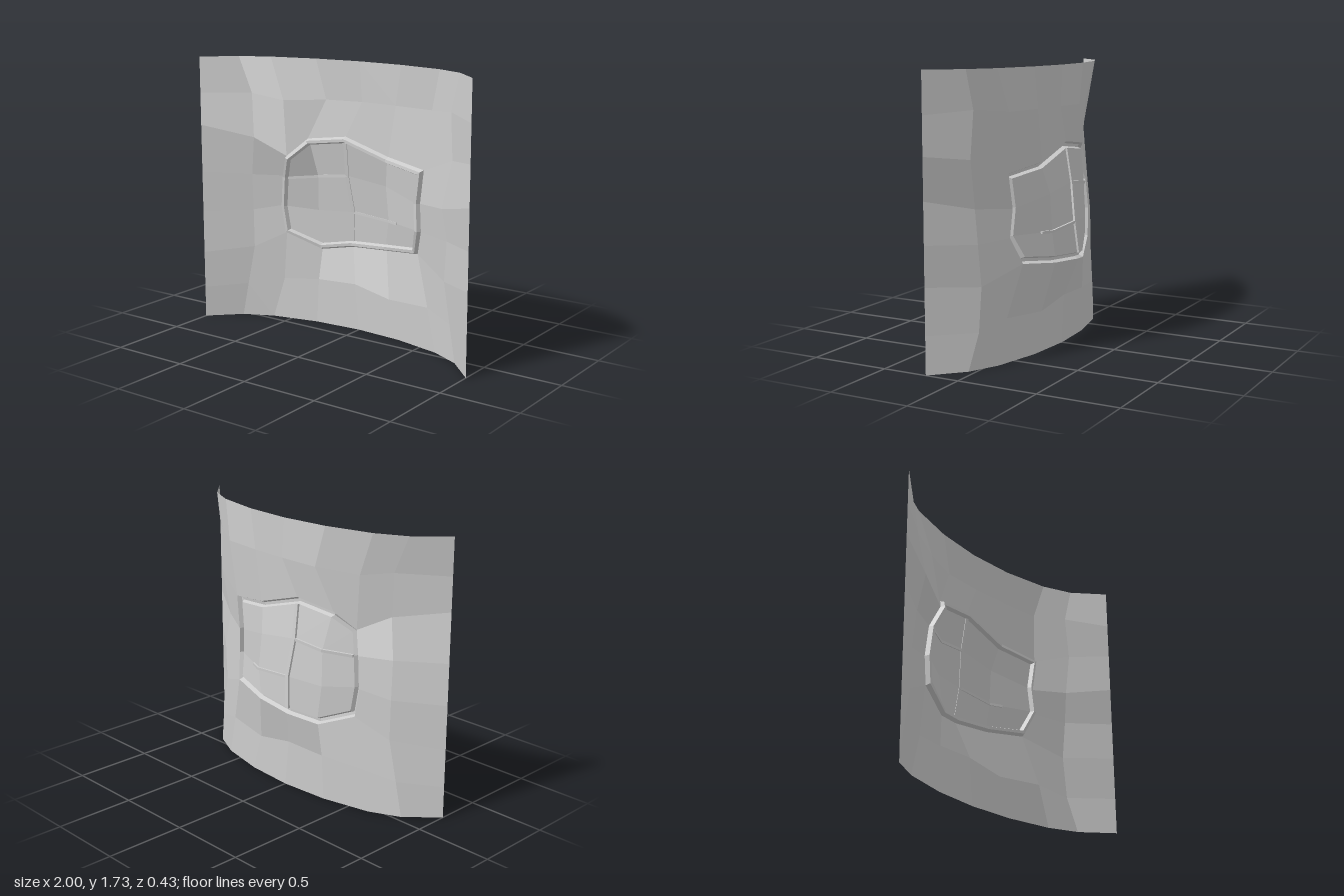
import * as THREE from 'three';

const material = new THREE.MeshStandardMaterial({ color: 0xcccccc, side: THREE.DoubleSide });

// Depth of the bowed wall, by distance from the middle
const bow = [[0, -0.14], [0.32, -0.118], [0.63, -0.05], [0.82, 0.04], [1, 0.215]];
function bowDepth(x) {
  const u = Math.abs(x);
  const i = Math.max(1, bow.findIndex(p => u <= p[0]));
  const [a, b] = [bow[i - 1], bow[i]];
  return a[1] + (b[1] - a[1]) * (u - a[0]) / (b[0] - a[0]);
}

// Wall nodes, [x, y] or [x, y, z]; the depth follows the bow unless given
const edgeRow = y => [-1, -0.82, -0.63, -0.32, 0, 0.32, 0.63, 0.82, 1].map(x => [x, y]);
const lowerRow = [[-1, 0.2], [-0.78, 0.22, 0.03], [-0.55, 0.27], [-0.31, 0.29, -0.125], [-0.03, 0.3], [0.24, 0.25], [0.56, 0.27], [0.76, 0.22, 0.005], [1, 0.23]];
const openingRows = [
  [[-1, 0.44], [-0.73, 0.48, 0.02], [-0.52, 0.59, -0.06], [-0.29, 0.495, -0.14], [-0.09, 0.525, -0.205], [0.18, 0.545, -0.185], [0.455, 0.58, -0.115], [0.72, 0.48, 0.01], [1, 0.51]],
  [[-1, 0.72], [-0.73, 0.73, 0.025], [-0.545, 0.77, -0.05], [-0.32, 0.75, -0.14], [-0.075, 0.76, -0.185], [0.2, 0.74, -0.175], [0.51, 0.74, -0.06], [0.74, 0.73, 0.02], [1, 0.75]],
  [[-1, 0.98], [-0.72, 0.97, 0.045], [-0.525, 0.97, -0.04], [-0.315, 0.975, -0.13], [-0.1, 1, -0.15], [0.19, 0.965, -0.155], [0.495, 0.91, -0.07], [0.72, 0.93, 0.05], [1, 1]],
  [[-1, 1.29], [-0.68, 1.22, 0.07], [-0.47, 1.11, 0], [-0.37, 1.22, -0.095], [-0.09, 1.255, -0.12], [0.23, 1.16, -0.12], [0.525, 1.12, -0.06], [0.78, 1.22, 0.04], [1, 1.25]],
];
const upperRow = [[-1, 1.5], [-0.72, 1.5, 0.035], [-0.52, 1.46, -0.035], [-0.25, 1.475, -0.13], [0.02, 1.48], [0.28, 1.48], [0.56, 1.48, -0.085], [0.76, 1.5, 0.03], [1, 1.48]];
const nodes = [edgeRow(0), lowerRow, ...openingRows, upperRow, edgeRow(1.73)]
  .map(row => row.map(([x, y, z = bowDepth(x)]) => new THREE.Vector3(x, y, z)));

// Faceted mesh from four-cornered faces, one normal per face
function quadMesh(name, quads) {
  const points = [], normals = [];
  for (const [a, b, c, d] of quads) {
    const normal = c.clone().sub(a).cross(d.clone().sub(b)).normalize();
    for (const p of [a, b, d, b, c, d]) {
      points.push(p);
      normals.push(...normal);
    }
  }
  const geometry = new THREE.BufferGeometry().setFromPoints(points);
  geometry.setAttribute('normal', new THREE.Float32BufferAttribute(normals, 3));
  const mesh = new THREE.Mesh(geometry, material);
  mesh.name = name;
  return mesh;
}

// Faces of a grid of nodes, leaving out the cells that skip() accepts
function gridQuads(grid, skip = () => false) {
  const quads = [];
  for (let r = 0; r < grid.length - 1; r++)
    for (let c = 0; c < grid[r].length - 1; c++)
      if (!skip(r, c)) quads.push([grid[r][c], grid[r][c + 1], grid[r + 1][c + 1], grid[r + 1][c]]);
  return quads;
}

// Closed ring shifted inward by inset and forward by depth
function offsetRing(ring, inset, depth) {
  const n = ring.length;
  return ring.map((p, i) => {
    const before = p.clone().sub(ring[(i + n - 1) % n]).setZ(0).normalize();
    const after = ring[(i + 1) % n].clone().sub(p).setZ(0).normalize();
    const t = before.clone().add(after).normalize();
    const d = inset / Math.max(0.6, t.dot(after));
    return new THREE.Vector3(p.x - t.y * d, p.y + t.x * d, p.z + depth);
  });
}

// Rectangular bar along a line of points, set mostly behind it
function bar(name, path, width, depth) {
  const sections = path.map((p, i) => {
    const t = path[Math.min(i + 1, path.length - 1)].clone().sub(path[Math.max(i - 1, 0)]).setZ(0).normalize();
    return [[-1, -0.7], [1, -0.7], [1, 0.3], [-1, 0.3], [-1, -0.7]].map(([u, v]) =>
      new THREE.Vector3(p.x - t.y * u * width / 2, p.y + t.x * u * width / 2, p.z + v * depth));
  });
  const caps = [sections[0], sections[sections.length - 1]].map(s => s.slice(0, 4));
  return quadMesh(name, [...gridQuads(sections), ...caps]);
}

export function createModel() {
  const group = new THREE.Group();
  group.name = 'curvedWallWithWindow';

  // Bowed wall with the window opening left out
  group.add(quadMesh('wall', gridQuads(nodes, (r, c) => r >= 2 && r < 5 && c >= 2 && c < 6)));

  // Cells around the opening, counter-clockwise
  const rim = [];
  for (let c = 2; c < 6; c++) rim.push([2, c]);
  for (let r = 2; r < 5; r++) rim.push([r, 6]);
  for (let c = 6; c > 2; c--) rim.push([5, c]);
  for (let r = 5; r > 2; r--) rim.push([r, 2]);
  const ring = rim.map(([r, c]) => nodes[r][c]);

  // Raised bevelled frame with a shallow reveal down to the panes
  const profile = [[0, 0], [0.012, 0.028], [0.03, 0.028], [0.04, 0.002]];
  const loops = profile.map(([inset, depth]) => offsetRing(ring, inset, depth));
  group.add(quadMesh('windowFrame', gridQuads(loops.map(loop => [...loop, loop[0]]))));

  // Faceted panes inside the frame
  const panes = nodes.slice(2, 6).map(row => row.slice(2, 7));
  rim.forEach(([r, c], i) => { panes[r - 2][c - 2] = loops[3][i]; });
  group.add(quadMesh('panes', gridQuads(panes)));

  // Glazing bars
  const [, low, high] = panes;
  group.add(bar('mullion', panes.map(row => row[2]), 0.025, 0.018));
  group.add(bar('leftGlazingBar', high.slice(0, 3), 0.018, 0.016));
  group.add(bar('rightGlazingBar', [low[2], low[3], low[3].clone().lerp(low[4], 0.3)], 0.016, 0.016));

  return group;
}
